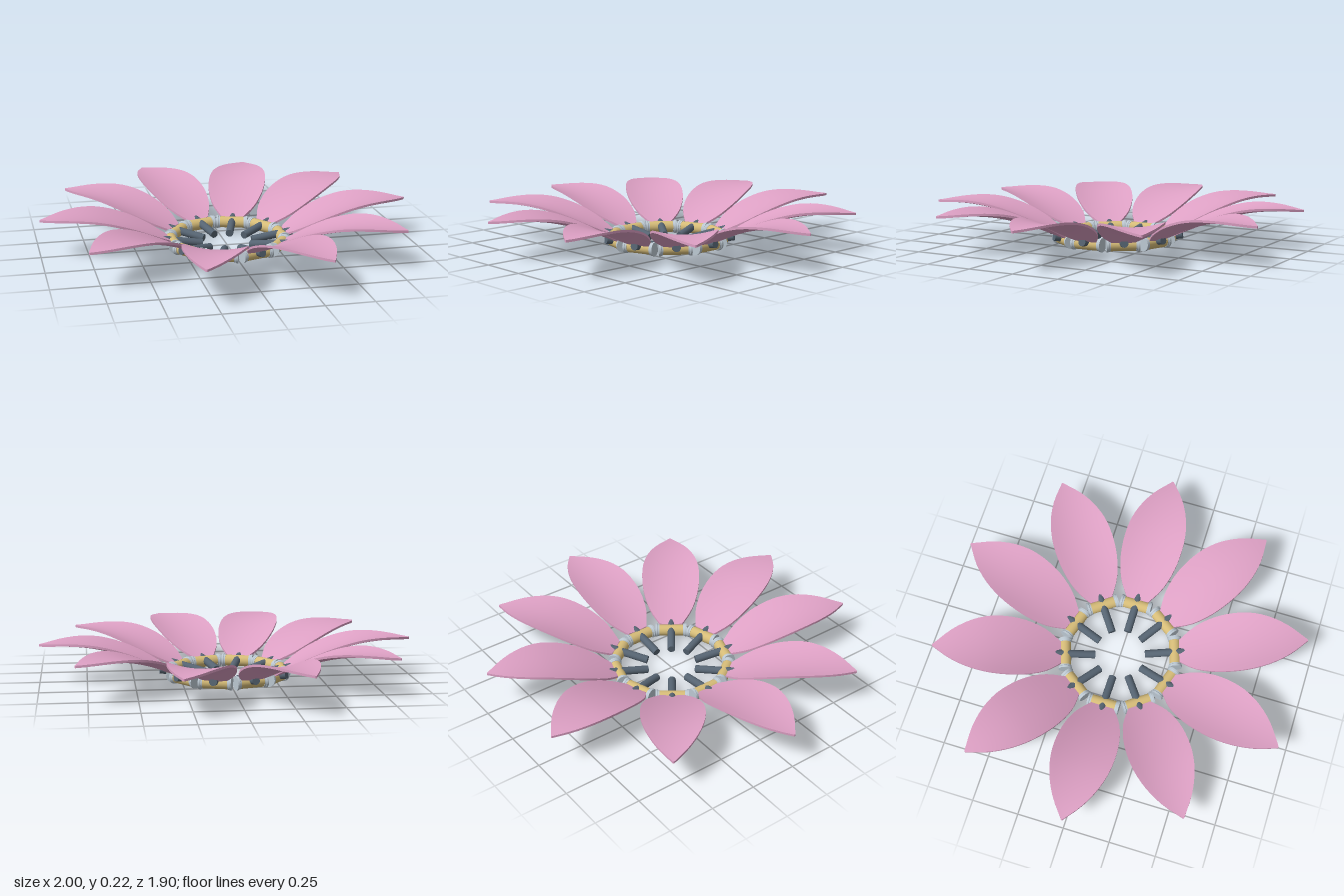
import * as THREE from 'three';

const COUNT = 10;      // identical sectors around the ring
const RING_R = 0.298;  // distance from centre to each tube
const RING_Y = 0.037;  // height of the tube axis

const makeMaterial = (name, color) => {
  const m = new THREE.MeshStandardMaterial({ color });
  m.name = name;
  return m;
};

// Thin cupped petal: a subdivided slab bent along a spline of (distance, height, half width)
function petalGeometry() {
  const spine = new THREE.CatmullRomCurve3([
    [0.32, 0.055, 0.062], [0.4, 0.09, 0.118], [0.5, 0.13, 0.152], [0.6, 0.163, 0.163],
    [0.7, 0.188, 0.157], [0.8, 0.202, 0.13], [0.9, 0.206, 0.08], [1.0, 0.2, 0.003],
  ].map(p => new THREE.Vector3(...p)));
  const g = new THREE.BoxGeometry(1, 1, 1, 20, 1, 10);
  const pos = g.attributes.position;
  for (let i = 0; i < pos.count; i++) {
    const p = spine.getPoint(pos.getX(i) + 0.5);
    const u = pos.getZ(i) * 2;
    const lift = 0.95 * p.z * p.z * u * u;   // edges curl upward
    pos.setXYZ(i, p.x, p.y + lift + pos.getY(i) * 0.012, u * p.z);
  }
  g.computeVertexNormals();
  return g;
}

// Flared end collar, running along +z after rotation
function collarGeometry() {
  const profile = [[0.029, 0.066], [0.033, 0.066], [0.034, 0.074], [0.037, 0.077], [0.037, 0.087], [0, 0.087]];
  // doubled points keep the profile corners sharp
  const pts = profile.flatMap(([r, h]) => [new THREE.Vector2(r, h), new THREE.Vector2(r, h)]);
  return new THREE.LatheGeometry(pts.slice(1, -1), 24).rotateX(Math.PI / 2);
}

export function createModel() {
  const model = new THREE.Group();
  model.name = 'flowerRing';

  const pink = makeMaterial('petal pink', 0xdda0c4);
  const tan = makeMaterial('tube tan', 0xd6bc78);
  const silver = makeMaterial('collar silver', 0xbcc8d2);
  const slate = makeMaterial('pin slate', 0x566472);

  const petalGeo = petalGeometry();
  const tubeGeo = new THREE.CylinderGeometry(0.031, 0.031, 0.16, 24).rotateX(Math.PI / 2);
  const collarGeo = collarGeometry();

  // Pin passes through the tube, sloping down towards the centre
  const inner = new THREE.Vector3(0.137, 0.021, 0);
  const outer = new THREE.Vector3(0.361, 0.055, 0);
  const axis = outer.clone().sub(inner);
  const pinGeo = new THREE.CylinderGeometry(0.021, 0.021, axis.length(), 16);
  const pinTurn = new THREE.Quaternion().setFromUnitVectors(new THREE.Vector3(0, 1, 0), axis.clone().normalize());

  for (let i = 0; i < COUNT; i++) {
    const sector = new THREE.Group();
    sector.name = `sector${i + 1}`;
    sector.rotation.y = (i / COUNT) * Math.PI * 2;

    const add = (name, geo, mat) => {
      const mesh = new THREE.Mesh(geo, mat);
      mesh.name = name;
      sector.add(mesh);
      return mesh;
    };

    add('petal', petalGeo, pink);
    add('ringTube', tubeGeo, tan).position.set(RING_R, RING_Y, 0);
    for (const side of [0, 1]) {
      const collar = add('collar', collarGeo, silver);
      collar.position.set(RING_R, RING_Y, 0);
      collar.rotation.y = side * Math.PI;
    }
    const pin = add('pin', pinGeo, slate);
    pin.position.copy(inner).add(outer).multiplyScalar(0.5);
    pin.quaternion.copy(pinTurn);

    model.add(sector);
  }
  return model;
}
